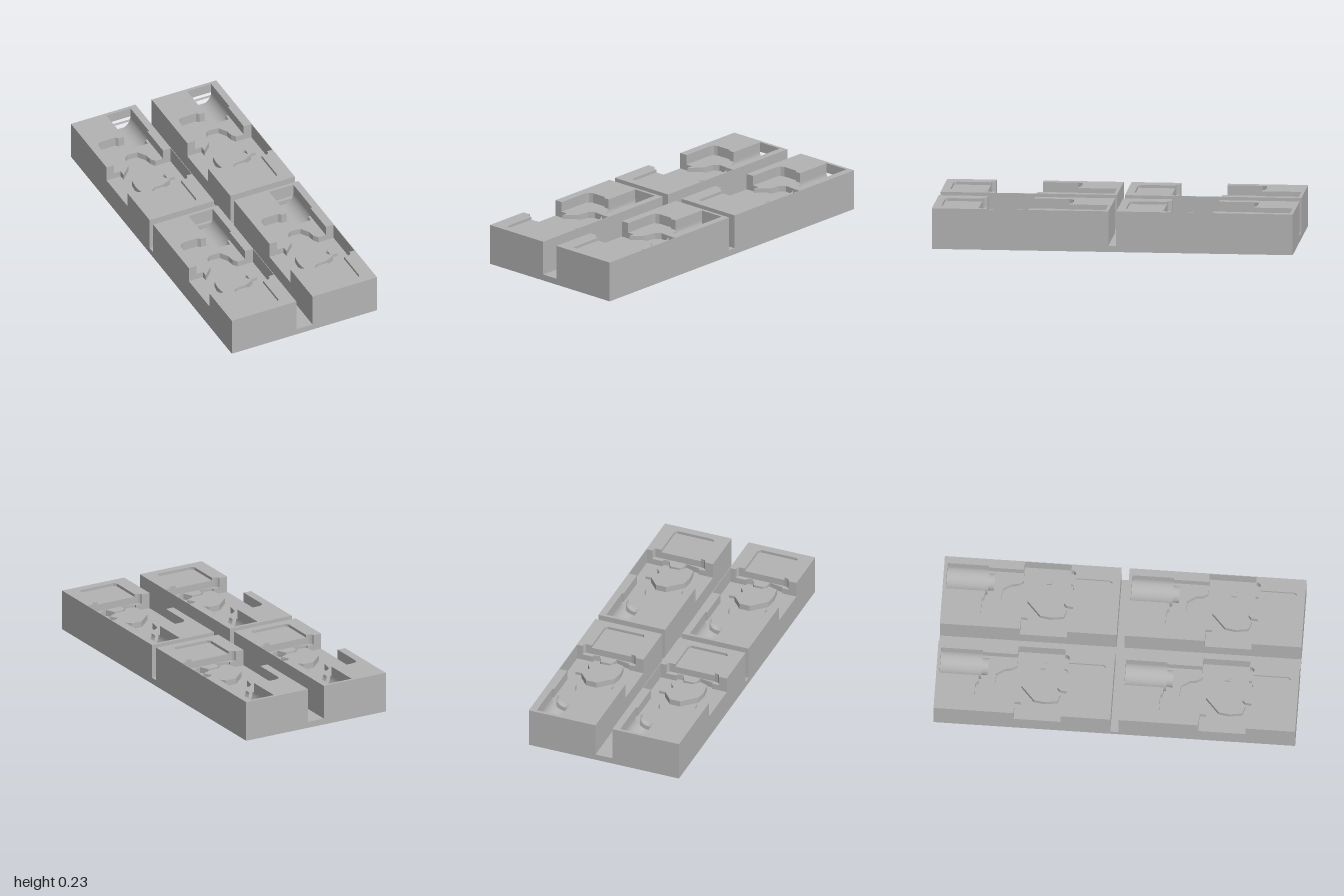
import * as THREE from 'three';

export function createModel() {
  const grey = new THREE.MeshStandardMaterial({ color: 0xb3b3b3 });
  grey.name = 'grey';
  const model = new THREE.Group();
  model.name = 'fixtureTray';

  const add = (parent, name, geometry) => {
    const mesh = new THREE.Mesh(geometry, grey);
    mesh.name = name;
    parent.add(mesh);
    return mesh;
  };

  // Plan points are [x, z]; a slab runs from height y0 to y1
  const plan = (pts) => pts.map(([x, z]) => new THREE.Vector2(x, -z));
  function slab(parent, name, y0, y1, outline, holes = []) {
    const shape = new THREE.Shape(plan(outline));
    holes.forEach((h) => shape.holes.push(new THREE.Path(plan(h))));
    const g = new THREE.ExtrudeGeometry(shape, { depth: y1 - y0, bevelEnabled: false });
    g.rotateX(-Math.PI / 2).translate(0, y0, 0);
    return add(parent, name, g);
  }

  // Heights of the stepped floors
  const BASE = 0.035, TROUGH = 0.094, NOTCH = 0.138, LEDGE = 0.172, SLOT = 0.212, TOP = 0.228;
  const L = -0.447, R = -0.05, BACK = 0.022, FRONT = 1;

  const sides = [[L, BACK], [R, BACK], [R, FRONT], [L, FRONT]];
  const slot = [[-0.365, 0.75], [-0.365, 0.94], [-0.353, 0.955], [-0.142, 0.955], [-0.13, 0.94], [-0.13, 0.75]];

  // Outline of the wide pocket, open on the left side through the finger notch
  const pocketOutline = (extra) => [
    ...sides, [L, 0.725], [-0.4, 0.725], [-0.395, 0.738], [-0.385, 0.746], [-0.366, 0.75],
    ...extra,
    [-0.095, 0.75], [-0.085, 0.738], [-0.085, 0.725],
    [-0.053, 0.725], [-0.053, 0.465], [-0.1, 0.465], [-0.1, 0.27], [-0.09, 0.27],
    [-0.09, 0.04], [-0.238, 0.04], [-0.238, 0.257], [-0.27, 0.257], [-0.283, 0.242],
    [-0.37, 0.242], [-0.391, 0.251], [-0.4, 0.27], [-0.4, 0.465], [L, 0.465],
  ];

  // Outline of the deeper recess joining both finger notches
  const recessOutline = [
    ...sides, [L, 0.725], [-0.36, 0.725], [-0.36, 0.735], [-0.28, 0.748], [-0.275, 0.71], [-0.26, 0.695],
    [-0.205, 0.695], [-0.18, 0.745], [-0.147, 0.74], [-0.147, 0.725], [-0.053, 0.725], [-0.053, 0.465],
    [-0.147, 0.465], [-0.165, 0.437], [-0.17, 0.4], [-0.2, 0.352], [-0.26, 0.347],
    [-0.288, 0.37], [-0.3, 0.44], [-0.36, 0.5], [-0.36, 0.465], [L, 0.465],
  ];

  const troughHole = [
    [-0.238, 0.04], [-0.09, 0.04], [-0.09, 0.27], [-0.114, 0.27],
    [-0.114, 0.305], [-0.214, 0.305], [-0.214, 0.27], [-0.238, 0.27],
  ];

  // Raised island inside the recess
  const island = [
    [-0.342, 0.57], [-0.262, 0.495], [-0.2, 0.495], [-0.147, 0.555], [-0.15, 0.585], [-0.175, 0.61],
    [-0.147, 0.65], [-0.2, 0.675], [-0.265, 0.68], [-0.295, 0.715], [-0.34, 0.7], [-0.35, 0.63],
  ];

  // Rounded bottom of a trough running along z
  function roundFloor(parent, name, radius, z0, z1) {
    const s = new THREE.Shape();
    s.moveTo(-radius, TROUGH);
    s.lineTo(radius, TROUGH);
    s.lineTo(radius, LEDGE);
    s.absarc(0, LEDGE, radius, 0, -Math.PI, true);
    s.lineTo(-radius, TROUGH);
    const g = new THREE.ExtrudeGeometry(s, { depth: z1 - z0, bevelEnabled: false, curveSegments: 16 });
    add(parent, name, g.translate(-0.164, 0, z0));
  }

  function makeBlock() {
    const block = new THREE.Group();
    slab(block, 'blockFoot', BASE, TROUGH, sides);
    slab(block, 'lowerBody', TROUGH, NOTCH, sides, [troughHole]);
    slab(block, 'recessLayer', NOTCH, LEDGE, recessOutline, [troughHole]);
    slab(block, 'pocketLayer', LEDGE, SLOT, pocketOutline([]));
    slab(block, 'topRim', SLOT, TOP, pocketOutline(slot));
    roundFloor(block, 'troughFloor', 0.074, 0.04, 0.27);
    roundFloor(block, 'neckFloor', 0.05, 0.27, 0.305);
    slab(block, 'island', NOTCH, LEDGE, island);
    slab(block, 'smallStop', NOTCH, 0.155, [[-0.147, 0.575], [-0.105, 0.575], [-0.105, 0.622], [-0.147, 0.622]]);
    return block;
  }

  // Base plate under the four blocks
  add(model, 'basePlate', new THREE.BoxGeometry(0.894, BASE, 2).translate(0, BASE / 2, 0));

  // Four equal blocks separated by channels
  for (const [column, dx] of [['right', 0], ['left', 0.497]]) {
    for (const [row, dz] of [['front', 0], ['back', -1.022]]) {
      const block = makeBlock();
      block.name = `${row} ${column} block`;
      block.position.set(dx, 0, dz);
      model.add(block);
    }
  }
  return model;
}
